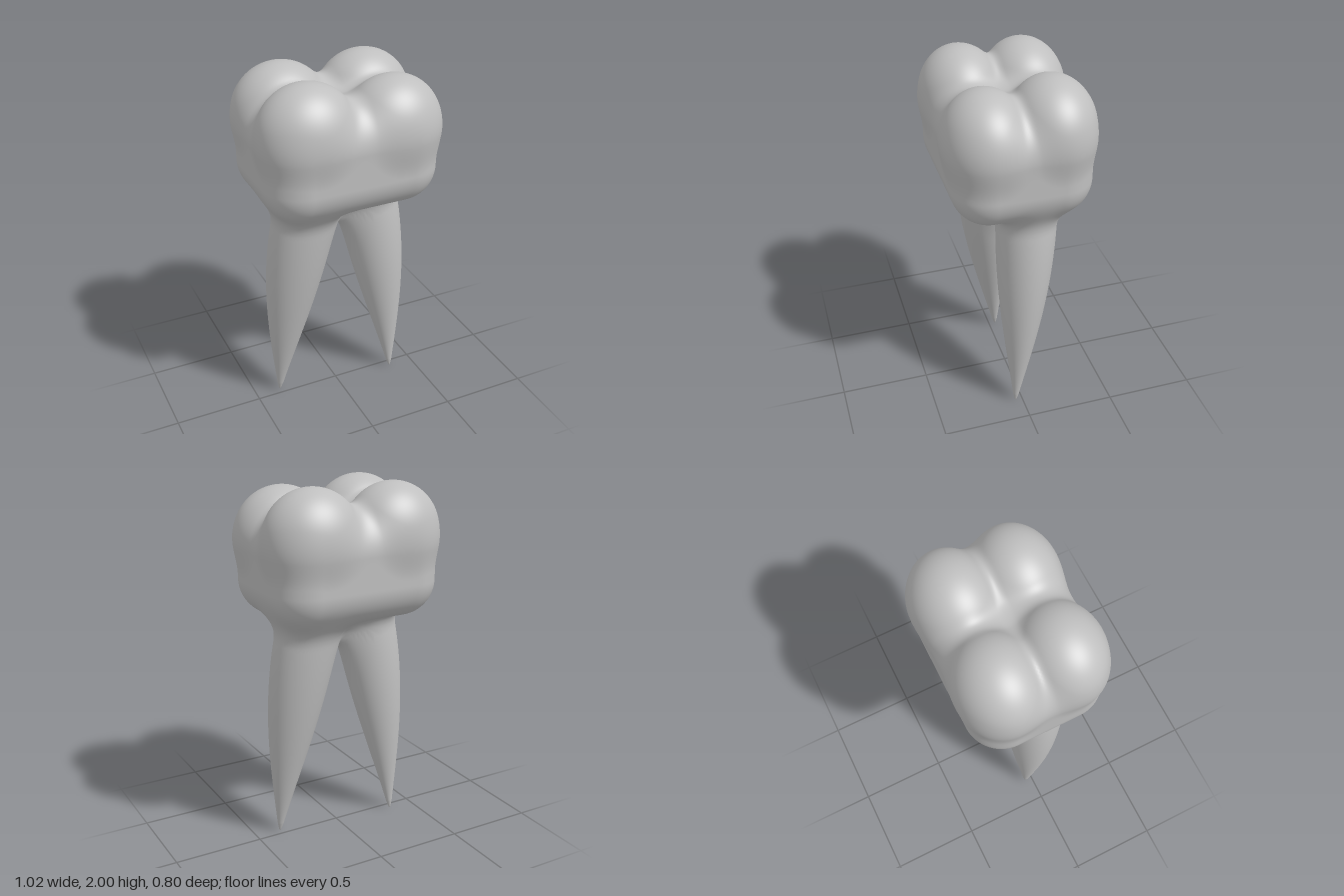
import * as THREE from 'three';

// Smooth union of two distances, k is the width of the blend
function blend(a, b, k) {
  const h = Math.max(k - Math.abs(a - b), 0) / k;
  return Math.min(a, b) - h * h * k / 4;
}

// Rounded block under the cusps
function block(x, y, z) {
  const r = 0.2;
  const qx = Math.abs(x) - 0.485 + r, qy = Math.abs(y - 1.56) - 0.29 + r, qz = Math.abs(z) - 0.373 + r;
  return Math.hypot(Math.max(qx, 0), Math.max(qy, 0), Math.max(qz, 0))
    + Math.min(Math.max(qx, qy, qz), 0) - r;
}

// One of four egg-shaped cusps; the front left one is a little lower
function cusp(x, y, z, sx, sz) {
  const top = sx > 0 && sz > 0 ? 1.97 : 2.0;
  const d = Math.hypot((x - sx * 0.24) / 0.265, (y - top + 0.26) / 0.26, (z - sz * 0.172) / 0.224);
  return (d - 1) * 0.224;
}
const cuspPair = (x, y, z, sx) => blend(cusp(x, y, z, sx, 1), cusp(x, y, z, sx, -1), 0.05);

// Tapering root with a blunt tip, closed inside the crown: centre line and radii by height
const rootX = (y) => 0.352 - 0.07 * y - 0.04 * y * y;
const rootZ = (y) => 0.04 - 0.08 * y;
function root(x, y, z, side) {
  const h = Math.max(y, 0);
  const s = Math.sin(Math.min(h / 1.2, 1) * Math.PI / 2) ** 1.1;
  const tip = 0.002 + 0.008 * Math.sqrt(Math.min(h / 0.05, 1));
  const rx = 0.17 * s + tip, rz = 0.152 * s + tip;
  const d = Math.hypot((side * x - rootX(h)) / rx, (side * z - rootZ(h)) / rz);
  return Math.max((d - 1) * Math.min(rx, rz), y - 1.4);
}

// The whole tooth as one field, negative inside
function tooth(x, y, z) {
  const cusps = blend(cuspPair(x, y, z, 1), cuspPair(x, y, z, -1), 0.08);
  const crown = blend(cusps, block(x, y, z), 0.06);
  const roots = blend(root(x, y, z, 1), root(x, y, z, -1), 0.2);
  return blend(crown, roots, 0.12);
}

// Walk from an inner point along a direction until the field turns positive
function reach(field, o, d, far) {
  const f = (t) => field(o.x + d.x * t, o.y + d.y * t, o.z + d.z * t);
  const step = 0.008;
  let t = 0;
  while (t < far && f(t) < 0) t += step;
  let lo = Math.max(t - step, 0), hi = t;
  for (let i = 0; i < 14; i++) {
    const mid = (lo + hi) / 2;
    if (f(mid) < 0) lo = mid; else hi = mid;
  }
  return o.clone().addScaledVector(d, hi);
}

// Push every vertex out to the surface and take normals from the slope of the field
function wrap(geometry, field, rayFor) {
  const pos = geometry.attributes.position, nor = geometry.attributes.normal;
  const v = new THREE.Vector3(), n = new THREE.Vector3(), e = 0.004;
  for (let i = 0; i < pos.count; i++) {
    v.fromBufferAttribute(pos, i);
    const { origin, dir } = rayFor(v);
    const p = reach(field, origin, dir, 1.2);
    pos.setXYZ(i, p.x, p.y, p.z);
    n.set(
      tooth(p.x + e, p.y, p.z) - tooth(p.x - e, p.y, p.z),
      tooth(p.x, p.y + e, p.z) - tooth(p.x, p.y - e, p.z),
      tooth(p.x, p.y, p.z + e) - tooth(p.x, p.y, p.z - e)
    ).normalize();
    nor.setXYZ(i, n.x, n.y, n.z);
  }
  return geometry;
}

export function createModel() {
  const group = new THREE.Group();
  group.name = 'tooth';
  const enamel = new THREE.MeshStandardMaterial({ color: 0xbfbfbf });
  enamel.name = 'enamel grey';

  // Crown: a fine ball wrapped outwards, ending inside the roots
  const centre = new THREE.Vector3(0, 1.6, 0);
  const crownField = (x, y, z) => Math.max(tooth(x, y, z), 1.02 - y);
  const crown = new THREE.Mesh(
    wrap(new THREE.IcosahedronGeometry(1, 45), crownField,
      (v) => ({ origin: centre, dir: v.clone().normalize() })),
    enamel
  );
  crown.name = 'crown';
  group.add(crown);

  // Roots: a tube wrapped around the slanted centre line, with rings closer at the tip
  const rootField = (x, y, z) => Math.max(tooth(x, y, z), -x);
  const rootGeometry = wrap(new THREE.CylinderGeometry(1, 1, 1, 56, 64, true), rootField, (v) => {
    const y = 1.22 * (v.y + 0.5) ** 1.5;
    return {
      origin: new THREE.Vector3(rootX(y), y, rootZ(y)),
      dir: new THREE.Vector3(v.x, 0, v.z).normalize()
    };
  });
  ['leftRoot', 'rightRoot'].forEach((name, i) => {
    const mesh = new THREE.Mesh(rootGeometry, enamel);
    mesh.name = name;
    mesh.rotation.y = i * Math.PI;
    group.add(mesh);
  });

  return group;
}
